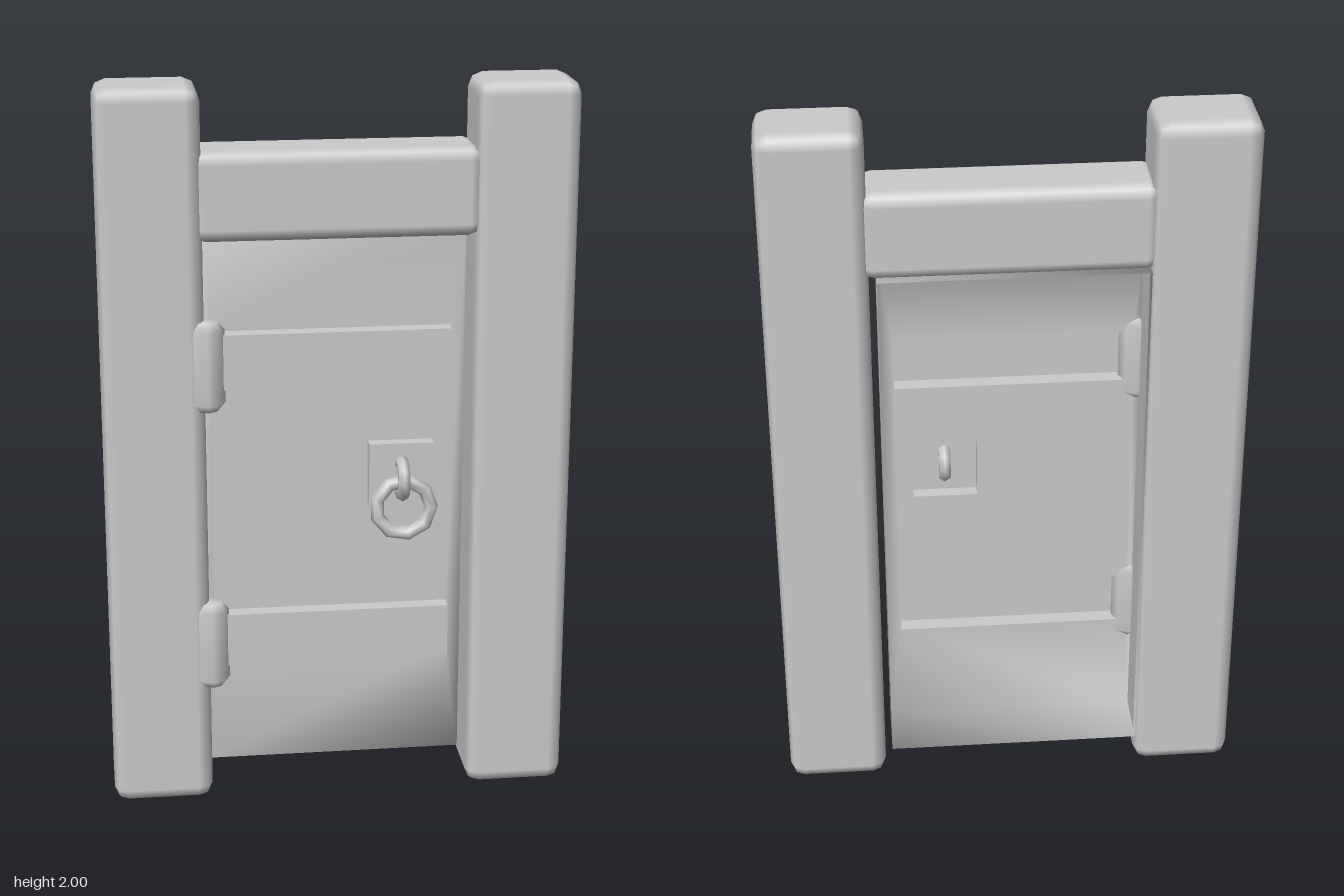
import * as THREE from 'three';
import { RoundedBoxGeometry } from 'three/addons/geometries/RoundedBoxGeometry.js';
import { mergeGeometries, mergeVertices } from 'three/addons/utils/BufferGeometryUtils.js';

const BACK = -0.145, FACE = 0.02; // rear rim and front skin of the hollow door

export function createModel() {
  const group = new THREE.Group();
  const mat = new THREE.MeshStandardMaterial({ color: 0xcccccc, side: THREE.DoubleSide });

  function add(name, geometry, x = 0, y = 0, z = 0) {
    const mesh = new THREE.Mesh(geometry, mat);
    mesh.name = name;
    mesh.position.set(x, y, z);
    group.add(mesh);
    return mesh;
  }

  // Chamfered beam between two corners
  function beam(name, x0, x1, y0, y1, z0, z1, r) {
    add(name, new RoundedBoxGeometry(x1 - x0, y1 - y0, z1 - z0, 1, r),
      (x0 + x1) / 2, (y0 + y1) / 2, (z0 + z1) / 2);
  }

  function rectangle(Type, [x0, x1, y0, y1]) {
    const path = new Type();
    path.moveTo(x0, y0).lineTo(x1, y0).lineTo(x1, y1).lineTo(x0, y1).closePath();
    return path;
  }

  // Four outward facing walls around a rectangle, from z0 to z1
  function walls([x0, x1, y0, y1], z0, z1) {
    const w = x1 - x0, h = y1 - y0, d = z1 - z0;
    const cx = (x0 + x1) / 2, cy = (y0 + y1) / 2, cz = (z0 + z1) / 2;
    return [
      new THREE.PlaneGeometry(d, h).rotateY(Math.PI / 2).translate(x1, cy, cz),
      new THREE.PlaneGeometry(d, h).rotateY(-Math.PI / 2).translate(x0, cy, cz),
      new THREE.PlaneGeometry(w, d).rotateX(-Math.PI / 2).translate(cx, y1, cz),
      new THREE.PlaneGeometry(w, d).rotateX(Math.PI / 2).translate(cx, y0, cz),
    ];
  }

  // Open-backed box: front sheet with optional holes, plus walls
  function shell(rect, z0, z1, holes = []) {
    const shape = rectangle(THREE.Shape, rect);
    shape.holes = holes.map(h => rectangle(THREE.Path, h));
    return mergeGeometries([new THREE.ShapeGeometry(shape).translate(0, 0, z1), ...walls(rect, z0, z1)]);
  }

  // Frame: two posts and a lintel
  for (const side of [-1, 1]) {
    const c = side * 0.496;
    beam(side < 0 ? 'rightPost' : 'leftPost', c - 0.137, c + 0.137, 0, 2, -0.14, 0.08, 0.038);
  }
  beam('lintel', -0.385, 0.38, 1.59, 1.83, -0.125, 0.065, 0.035);

  // Hollow door leaf, pierced behind the straps and the handle plate
  const straps = [[-0.34, 0.3, 0.4, 0.55], [-0.34, 0.3, 1.195, 1.345]];
  const plate = [0.08, 0.255, 0.85, 1.025];
  const door = shell([-0.36, 0.34, 0.1, 1.6], BACK, FACE, [...straps, plate]);
  door.deleteAttribute('normal');
  door.deleteAttribute('uv');
  const smoothDoor = mergeVertices(door);
  smoothDoor.computeVertexNormals(); // soft shading across the rim
  add('doorLeaf', smoothDoor);

  // Hinge straps with eight-sided knuckles
  const knuckle = [[0, -0.122], [0.03, -0.122], [0.048, -0.1], [0.048, 0.1], [0.03, 0.122], [0, 0.122]]
    .map(([r, y]) => new THREE.Vector2(r, y));
  straps.forEach((rect, i) => {
    const label = i ? 'upper' : 'lower';
    add(label + 'Strap', shell(rect, FACE, 0.063));
    add(label + 'Knuckle', new THREE.LatheGeometry(knuckle, 8), -0.353, (rect[2] + rect[3]) / 2 - 0.01, 0.05);
  });

  // Handle: plate, staple and hanging ring
  add('handlePlate', shell(plate, FACE, 0.055));
  add('handleStaple', new THREE.TorusGeometry(0.045, 0.018, 6, 10), 0.167, 0.933, 0.075).rotation.y = Math.PI / 2;
  add('handleRing', new THREE.TorusGeometry(0.075, 0.019, 6, 9), 0.168, 0.858, 0.1).rotation.x = -0.06;

  return group;
}
